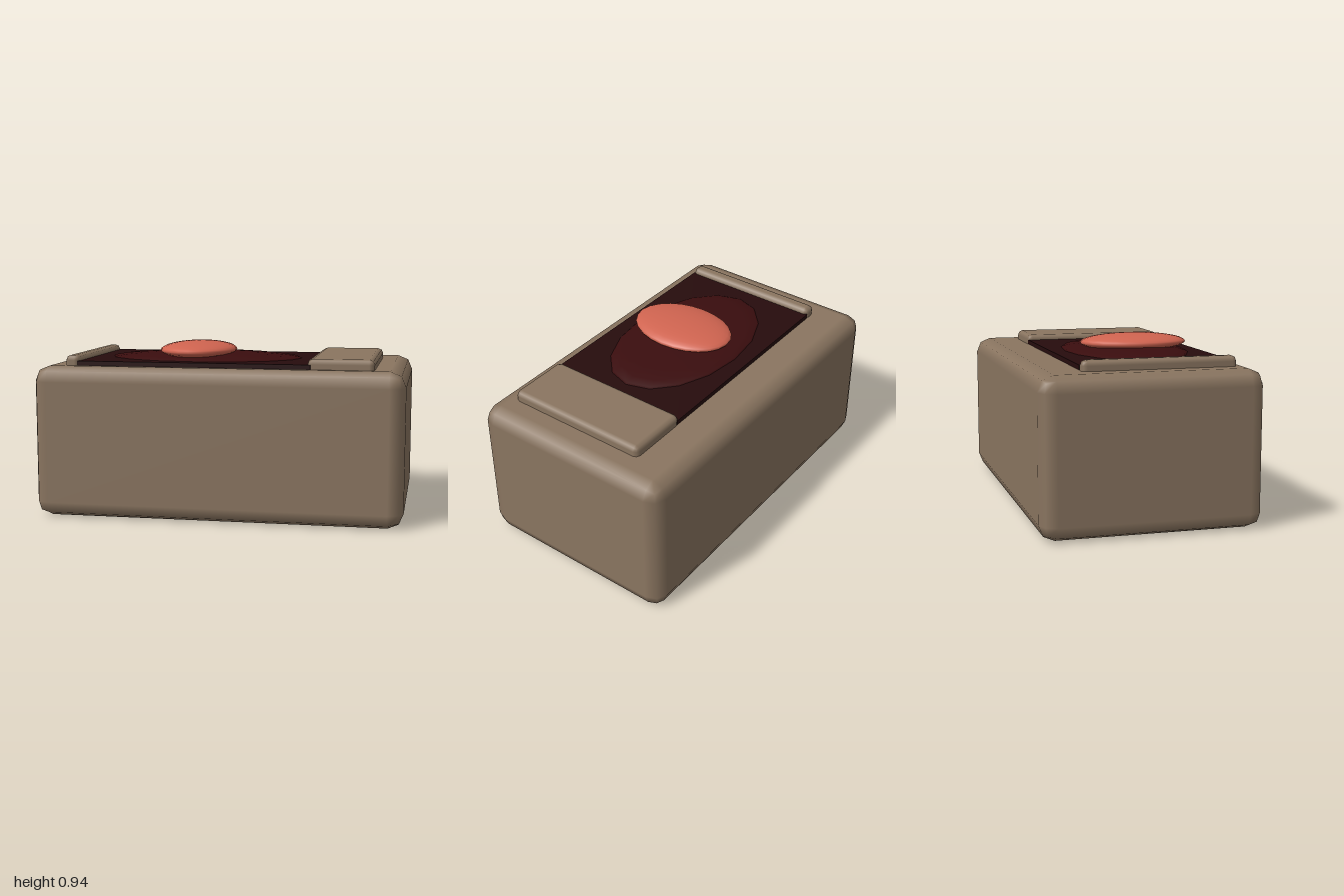
import * as THREE from 'three';
import { RoundedBoxGeometry } from 'three/addons/geometries/RoundedBoxGeometry.js';

export function createModel() {
  const group = new THREE.Group();
  const mat = (name, color) => {
    const m = new THREE.MeshStandardMaterial({ color });
    m.name = name;
    return m;
  };
  const tan = mat('tan', 0x8a7560);
  const black = mat('blackRed', 0x260c0d);
  const maroon = mat('maroon', 0x3a0d0e);
  const coral = mat('coral', 0xd06450);

  const add = (name, geometry, material, x, y, z) => {
    const mesh = new THREE.Mesh(geometry, material);
    mesh.name = name;
    mesh.position.set(x, y, z);
    group.add(mesh);
    return mesh;
  };

  // Body block with soft two-step bevels
  add('body', new RoundedBoxGeometry(2, 0.825, 1.17, 1, 0.083), tan, 0, 0.4125, 0);

  // Raised strips at either end of the dark panel, sunk into the body
  const strip = (name, x0, x1) =>
    add(name, new RoundedBoxGeometry(x1 - x0, 0.13, 0.82, 1, 0.028), tan, (x0 + x1) / 2, 0.815, 0.07);
  strip('narrowStrip', -0.84, -0.76);
  strip('wideStrip', 0.483, 0.835);

  // Dark panel between the strips
  add('darkPanel', new THREE.BoxGeometry(1.27, 0.05, 0.816), black, -0.135, 0.825, 0.07);

  // Flattened domes: wide shallow lens and the bright oval on top
  const dome = (name, material, wide, high, rx, ry, rz, x, y, z) =>
    add(name, new THREE.SphereGeometry(1, wide, high).scale(rx, ry, rz), material, x, y, z);
  dome('shallowLens', maroon, 16, 12, 0.55, 0.039, 0.34, -0.135, 0.846, 0.075);
  dome('brightOval', coral, 24, 16, 0.21, 0.048, 0.3, -0.17, 0.897, 0.12);

  return group;
}
